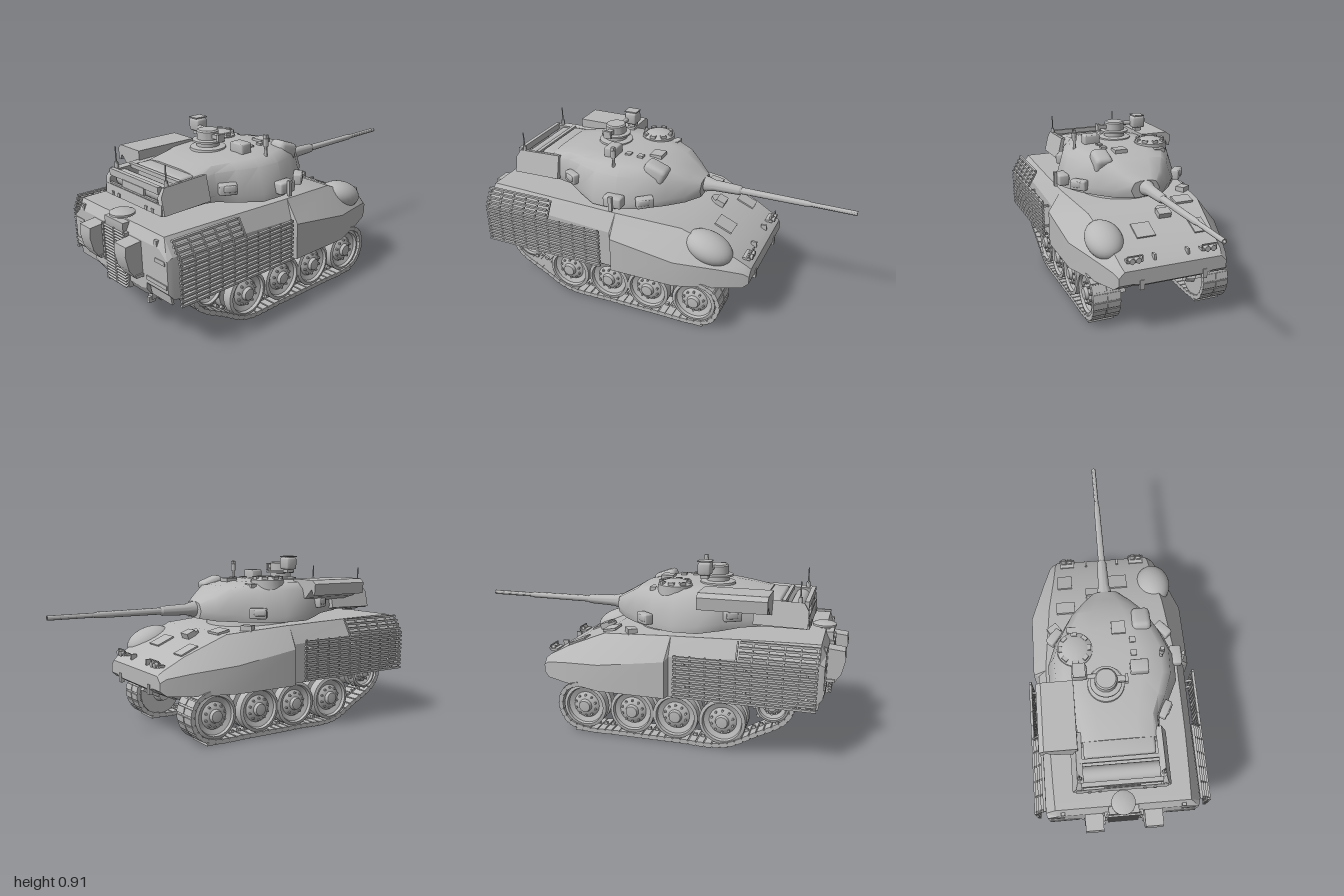
import * as THREE from 'three';
import { mergeGeometries, toCreasedNormals } from 'three/addons/utils/BufferGeometryUtils.js';
import { RoundedBoxGeometry } from 'three/addons/geometries/RoundedBoxGeometry.js';

const paint = new THREE.MeshStandardMaterial({ color: 0xb8b8b8 });
paint.name = 'grey paint';

// Placed primitives
const place = (g, x, y, z, rx = 0, ry = 0, rz = 0) =>
  g.applyMatrix4(new THREE.Matrix4().compose(new THREE.Vector3(x, y, z),
    new THREE.Quaternion().setFromEuler(new THREE.Euler(rx, ry, rz)), new THREE.Vector3(1, 1, 1)));
const box = (w, h, d, x, y, z, rx, ry, rz) => place(new THREE.BoxGeometry(w, h, d), x, y, z, rx, ry, rz);
const soft = (w, h, d, r, x, y, z, rx, ry, rz) => place(new RoundedBoxGeometry(w, h, d, 2, r), x, y, z, rx, ry, rz);
const cyl = (r1, r2, h, x, y, z, rx, ry, rz, n = 24) => place(new THREE.CylinderGeometry(r1, r2, h, n), x, y, z, rx, ry, rz);
const lathe = (pts, n, x, y, z, rx, ry, rz) =>
  place(new THREE.LatheGeometry(pts.map(p => new THREE.Vector2(...p)), n), x, y, z, rx, ry, rz);
// Side profile in (z, y) extruded across x, centred on x = 0
const profile = (pts, w) => {
  const g = new THREE.ExtrudeGeometry(new THREE.Shape(pts.map(p => new THREE.Vector2(-p[0], p[1]))), { depth: w, bevelEnabled: false });
  return g.translate(0, 0, -w / 2).rotateY(Math.PI / 2);
};

// Skin over mirrored cross-sections; each section is [z, half outline from bottom to top, cap height]
function loft(sections) {
  const pos = [];
  const rings = sections.map(([z, half]) =>
    [...half, ...half.slice().reverse().map(([x, y]) => [-x, y])].map(([x, y]) => [x, y, z]));
  const tri = (...v) => v.forEach(p => pos.push(...p));
  const n = rings[0].length, last = rings.length - 1;
  for (let j = 0; j < n; j++) {
    const k = (j + 1) % n;
    for (let i = 0; i < last; i++) {
      const a = rings[i][j], b = rings[i][k], c = rings[i + 1][k], d = rings[i + 1][j];
      tri(a, b, d); tri(b, c, d);
    }
    tri([0, sections[0][2], sections[0][0]], rings[0][k], rings[0][j]);
    tri([0, sections[last][2], sections[last][0]], rings[last][j], rings[last][k]);
  }
  const g = new THREE.BufferGeometry();
  g.setAttribute('position', new THREE.Float32BufferAttribute(pos, 3));
  return g;
}

export function createModel() {
  const model = new THREE.Group();
  const part = (name, geos, crease = 0.6) => {
    const clean = geos.map(g => {
      const c = g.index ? g.toNonIndexed() : g;
      c.deleteAttribute('uv'); c.deleteAttribute('normal');
      return c;
    });
    const mesh = new THREE.Mesh(toCreasedNormals(mergeGeometries(clean), crease), paint);
    mesh.name = name;
    model.add(mesh);
  };

  // Hull: z, belly y, sponson y, side width, side crease y, roof width, roof y
  part('hull', [loft([
    [-0.56, 0.27, 0.28, 0.29, 0.32, 0.26, 0.35], [-0.53, 0.25, 0.255, 0.305, 0.34, 0.27, 0.375],
    [-0.42, 0.20, 0.25, 0.345, 0.36, 0.28, 0.435], [-0.2, 0.17, 0.25, 0.42, 0.39, 0.31, 0.53],
    [0.15, 0.17, 0.25, 0.42, 0.44, 0.345, 0.555], [0.165, 0.17, 0.255, 0.392, 0.46, 0.345, 0.555],
    [0.55, 0.17, 0.26, 0.388, 0.48, 0.345, 0.567], [0.76, 0.19, 0.265, 0.388, 0.49, 0.34, 0.57],
    [0.89, 0.24, 0.29, 0.388, 0.49, 0.335, 0.57], [0.915, 0.28, 0.32, 0.38, 0.475, 0.325, 0.52],
  ].map(([z, yb, ys, ws, yc, wt, yt]) =>
    [z, [[0.17, yb], [0.215, yb + 0.01], [0.22, ys], [ws, ys], [ws, yc], [wt, yt]], (yb + yt) / 2]))], 0.35);

  // Front deck fittings
  const dome = place(new THREE.SphereGeometry(1, 28, 18).scale(0.095, 0.075, 0.13), 0.28, 0.437, -0.34, -0.34);
  part('deckDome', [dome]);
  const deck = [box(0.1, 0.012, 0.07, -0.22, 0.536, -0.19, -0.2), cyl(0.035, 0.035, 0.015, -0.07, 0.515, -0.26, -0.38),
    box(0.07, 0.03, 0.05, -0.07, 0.51, -0.28, -0.38), box(0.08, 0.008, 0.1, -0.22, 0.456, -0.38, -0.41),
    box(0.06, 0.03, 0.05, -0.29, 0.55, -0.06, 0, 0.6), box(0.1, 0.008, 0.1, 0.08, 0.466, -0.36, -0.41)];
  for (const s of [-1, 1]) {
    deck.push(box(0.08, 0.012, 0.04, s * 0.2, 0.39, -0.525), box(0.08, 0.006, 0.006, s * 0.2, 0.415, -0.54),
      cyl(0.014, 0.014, 0.03, s * 0.185, 0.395, -0.54, Math.PI / 2), cyl(0.014, 0.014, 0.03, s * 0.218, 0.395, -0.54, Math.PI / 2),
      box(0.012, 0.03, 0.03, s * 0.09, 0.39, -0.52), box(0.022, 0.05, 0.02, s * 0.17, 0.27, -0.555),
      box(0.006, 0.03, 0.006, s * 0.16, 0.4, -0.54), box(0.006, 0.03, 0.006, s * 0.24, 0.4, -0.54));
  }
  part('frontFittings', deck);

  // Turret: z, bottom width, mid width, shoulder width, roof width, bottom y, mid y, shoulder y, roof y
  part('turret', [loft([
    [-0.21, 0.06, 0.08, 0.065, 0.04, 0.585, 0.625, 0.655, 0.672], [-0.15, 0.13, 0.15, 0.125, 0.075, 0.575, 0.615, 0.675, 0.705],
    [-0.07, 0.2, 0.215, 0.185, 0.11, 0.572, 0.612, 0.715, 0.752], [0.04, 0.28, 0.285, 0.245, 0.15, 0.57, 0.605, 0.725, 0.772],
    [0.16, 0.33, 0.33, 0.29, 0.19, 0.57, 0.6, 0.735, 0.78], [0.29, 0.325, 0.325, 0.285, 0.19, 0.57, 0.605, 0.735, 0.778],
    [0.4, 0.26, 0.27, 0.245, 0.165, 0.577, 0.615, 0.735, 0.774], [0.49, 0.205, 0.215, 0.2, 0.14, 0.588, 0.625, 0.73, 0.768],
    [0.6, 0.195, 0.21, 0.195, 0.13, 0.6, 0.635, 0.72, 0.748],
  ].map(([z, wb, wm, ws, wt, yb, ym, ys, yt]) =>
    [z, [[wb, yb], [wm, ym], [ws, ys], [(ws + wt) / 2 + 0.005, yt - 0.008], [wt * 0.7, yt]], (yb + yt) / 2]))], 0.7);
  part('turretRing', [cyl(0.25, 0.26, 0.05, 0, 0.56, 0.17, 0, 0, 0, 48)]);

  // Gun
  part('gun', [lathe([[0, -0.15], [0.045, -0.15], [0.04, 0.22], [0.03, 0.26], [0.025, 0.4], [0.018, 0.41], [0.016, 0.75],
    [0.012, 0.77], [0.012, 1], [0.007, 1], [0.007, 0.95], [0, 0.95]], 24, -0.005, 0.632, 0, -Math.PI / 2)]);

  // Rear basket with rolled load
  const basket = [box(0.45, 0.015, 0.24, 0, 0.615, 0.69), soft(0.35, 0.12, 0.1, 0.015, 0, 0.68, 0.625),
    box(0.45, 0.05, 0.02, 0, 0.635, 0.81, -0.12), box(0.39, 0.034, 0.022, 0, 0.721, 0.802), box(0.39, 0.02, 0.02, 0, 0.728, 0.69),
    cyl(0.04, 0.04, 0.37, 0, 0.68, 0.745, 0, 0, Math.PI / 2), box(0.175, 0.045, 0.012, 0, 0.685, 0.81),
    box(0.38, 0.008, 0.012, 0, 0.668, 0.812)];
  for (const s of [-1, 1]) {
    basket.push(place(profile([[0.55, -0.06], [0.815, -0.065], [0.815, 0.02], [0.79, 0.06], [0.55, 0.068]], 0.03), s * 0.212, 0.673, 0, 0, 0, s * 0.24),
      cyl(0.009, 0.011, 0.03, s * 0.2, 0.745, 0.77), cyl(0.003, 0.004, 0.09, s * 0.2, 0.79, 0.77, 0, 0, 0, 8),
      box(0.016, 0.02, 0.008, s * 0.11, 0.622, 0.822), box(0.016, 0.02, 0.008, s * 0.16, 0.622, 0.822));
  }
  part('rearBasket', basket);

  // Wedge bin hung on the turret's right side
  const wedge = new THREE.Shape([[-0.2, 0.785], [-0.36, 0.785], [-0.385, 0.765], [-0.38, 0.705], [-0.37, 0.705],
    [-0.355, 0.735], [-0.31, 0.69], [-0.2, 0.66]].map(p => new THREE.Vector2(...p)));
  part('sideBin', [new THREE.ExtrudeGeometry(wedge, { depth: 0.34, bevelEnabled: false }).translate(0, 0, 0.3)]);

  // Hatches, sights and side boxes
  part('commanderCupola', [lathe([[0.095, 0.75], [0.09, 0.785], [0.058, 0.79], [0.058, 0.81], [0.078, 0.812], [0.078, 0.822],
    [0.055, 0.825], [0.055, 0.865], [0.048, 0.872], [0, 0.872]], 32, -0.04, 0, 0.33),
    box(0.07, 0.022, 0.03, 0.03, 0.845, 0.33), box(0.014, 0.04, 0.04, 0.06, 0.843, 0.33)]);
  const ring = [lathe([[0.09, 0.73], [0.088, 0.785], [0.07, 0.795], [0.05, 0.803], [0, 0.805]], 32, -0.18, 0, 0.14)];
  for (let i = 0; i < 8; i++) {
    const a = i * Math.PI / 4;
    ring.push(box(0.03, 0.02, 0.018, -0.18 + 0.072 * Math.sin(a), 0.793, 0.14 + 0.072 * Math.cos(a), 0, a));
  }
  part('loaderHatch', ring);
  part('sightPod', [soft(0.075, 0.065, 0.065, 0.012, -0.165, 0.868, 0.29), box(0.06, 0.006, 0.07, -0.165, 0.905, 0.29),
    box(0.04, 0.025, 0.04, -0.165, 0.83, 0.29), cyl(0.012, 0.012, 0.06, -0.115, 0.86, 0.31, 0, 0, Math.PI / 2)]);
  part('gunnerSight', [soft(0.095, 0.1, 0.125, 0.025, 0.165, 0.735, 0, -0.35), soft(0.09, 0.06, 0.065, 0.008, 0.13, 0.795, 0.26)]);
  part('windMast', [cyl(0.007, 0.01, 0.08, 0.245, 0.78, 0.2), cyl(0.013, 0.013, 0.04, 0.245, 0.835, 0.2), box(0.018, 0.02, 0.018, 0.245, 0.862, 0.2)]);
  const bits = [box(0.07, 0.02, 0.065, 0.045, 0.777, 0.04), box(0.06, 0.02, 0.03, -0.185, 0.757, 0.03),
    box(0.03, 0.016, 0.03, 0.11, 0.78, 0.11), box(0.03, 0.016, 0.03, 0.11, 0.78, 0.18)];
  for (const s of [-1, 1]) for (const [x, z, y, yaw] of [[0.285, 0.01, 0.62, -0.7], [0.245, 0.45, 0.655, 0.5]])
    bits.push(soft(0.045, 0.055, 0.09, 0.008, s * x, y, z, 0, -s * yaw), soft(0.03, 0.035, 0.06, 0.008, s * (x + 0.015), y + 0.005, z, 0, -s * yaw));
  bits.push(soft(0.06, 0.06, 0.1, 0.01, 0.335, 0.62, 0.16), box(0.015, 0.08, 0.02, 0.372, 0.62, 0.16));
  part('turretFittings', bits);

  // Rear plate: grille, bins, exhaust cap and hooks
  const rear = [box(0.17, 0.28, 0.02, 0, 0.385, 0.912), box(0.01, 0.28, 0.02, 0, 0.385, 0.925),
    box(0.15, 0.05, 0.06, 0, 0.54, 0.9), box(0.36, 0.07, 0.06, 0, 0.22, 0.81, 0.6),
    lathe([[0.03, 0.56], [0.03, 0.575], [0.06, 0.58], [0.06, 0.59], [0.045, 0.597], [0, 0.6]], 28, 0, 0, 0.88)];
  for (let i = 0; i < 19; i++) rear.push(box(0.16, 0.005, 0.02, 0, 0.252 + i * 0.0148, 0.928, 0.4));
  for (const s of [-1, 1]) {
    rear.push(profile([[0.9, 0.345], [0.955, 0.345], [0.985, 0.39], [1, 0.46], [0.995, 0.505], [0.9, 0.515]], 0.09).translate(s * 0.148, 0, 0),
      box(0.105, 0.015, 0.05, s * 0.148, 0.352, 0.93), box(0.012, 0.19, 0.035, s * 0.09, 0.43, 0.92),
      box(0.15, 0.09, 0.012, s * 0.3, 0.305, 0.895, 0.15), box(0.15, 0.02, 0.1, s * 0.3, 0.35, 0.87),
      box(0.03, 0.05, 0.025, s * 0.17, 0.225, 0.855), box(0.018, 0.03, 0.035, s * 0.17, 0.2, 0.865),
      box(0.07, 0.02, 0.012, s * 0.33, 0.46, 0.912), box(0.02, 0.04, 0.02, s * 0.3, 0.53, 0.905));
  }
  part('rearFittings', rear);

  for (const s of [-1, 1]) {
    const side = s > 0 ? 'left' : 'right';

    // Slatted side armour
    const slats = [];
    for (let i = 0; i < 14; i++) {
      const y = 0.277 + i * 0.0222, high = y > 0.48;
      const z0 = high ? 0.52 : 0.2, x = 0.437 - Math.max(0, y - 0.48) * 0.6;
      slats.push(box(0.014, 0.011, 0.89 - z0, s * x, y, (0.89 + z0) / 2));
    }
    for (let z = 0.21; z < 0.9; z += 0.0745) {
      slats.push(box(0.008, 0.215, 0.008, s * 0.434, 0.38, z));
      if (z > 0.5) slats.push(box(0.008, 0.1, 0.008, s * 0.409, 0.526, z, 0, 0, s * 0.54));
    }
    for (const z of [0.25, 0.55, 0.84]) slats.push(box(0.05, 0.012, 0.012, s * 0.41, 0.44, z), box(0.05, 0.012, 0.012, s * 0.41, 0.32, z));
    part(side + 'SlatArmour', slats);

    // Track shoes along the running loop, guide horns pointing inwards
    const path = new THREE.CatmullRomCurve3([[0.45, 0.02], [0.2, 0.014], [-0.1, 0.014], [-0.3, 0.016], [-0.39, 0.05], [-0.43, 0.14],
      [-0.4, 0.225], [-0.3, 0.265], [0.1, 0.285], [0.5, 0.31], [0.68, 0.345], [0.75, 0.315], [0.775, 0.25], [0.74, 0.18], [0.6, 0.095]]
      .map(([z, y]) => new THREE.Vector3(0, y, z)), true, 'centripetal');
    const track = [], count = 66;
    for (let i = 0; i < count; i++) {
      const p = path.getPointAt(i / count), t = path.getTangentAt(i / count), a = Math.atan2(-t.y, t.z);
      for (const d of [-0.038, 0.038]) track.push(box(0.07, 0.024, 0.034, s * 0.304 + d, p.y, p.z, a));
      track.push(box(0.146, 0.014, 0.044, s * 0.304, p.y, p.z, a),
        box(0.016, 0.022, 0.018, s * 0.304, p.y - t.z * 0.014, p.z + t.y * 0.014, a));
    }
    track.push(box(0.14, 0.012, 0.44, s * 0.304, 0.006, -0.13));
    part(side + 'Track', track);

    // Road wheels, rear sprocket and swing arms
    const wheels = [], turn = -s * Math.PI / 2;
    const disc = (r, z, y) => {
      wheels.push(lathe([[0, -0.065], [r, -0.065], [r, -0.015], [r * 0.7, -0.012], [r * 0.7, 0.012], [r, 0.015], [r, 0.062],
        [r * 0.86, 0.066], [r * 0.82, 0.05], [r * 0.6, 0.04], [r * 0.42, 0.055], [r * 0.3, 0.058], [r * 0.25, 0.075], [0, 0.078]],
      32, s * 0.304, y, z, 0, 0, turn));
      for (let i = 0; i < 10; i++) {
        const a = i * Math.PI / 5;
        wheels.push(cyl(0.006, 0.006, 0.012, s * 0.36, y + r * 0.48 * Math.cos(a), z + r * 0.48 * Math.sin(a), 0, 0, turn, 8));
      }
    };
    for (const z of [0.437, 0.196, -0.035, -0.295]) {
      disc(0.117, z, 0.14);
      wheels.push(box(0.035, 0.05, 0.14, s * 0.215, 0.165, z - 0.05, 0.45), cyl(0.04, 0.028, 0.05, s * 0.215, 0.135, z, 0, 0, turn));
    }
    disc(0.08, 0.68, 0.25);
    for (let i = 0; i < 11; i++) {
      const a = i * Math.PI * 2 / 11;
      wheels.push(box(0.012, 0.025, 0.018, s * 0.35, 0.25 + 0.083 * Math.cos(a), 0.68 + 0.083 * Math.sin(a), a));
    }
    wheels.push(cyl(0.045, 0.06, 0.06, s * 0.22, 0.25, 0.68, 0, 0, turn));
    part(side + 'Wheels', wheels);
  }
  return model;
}
